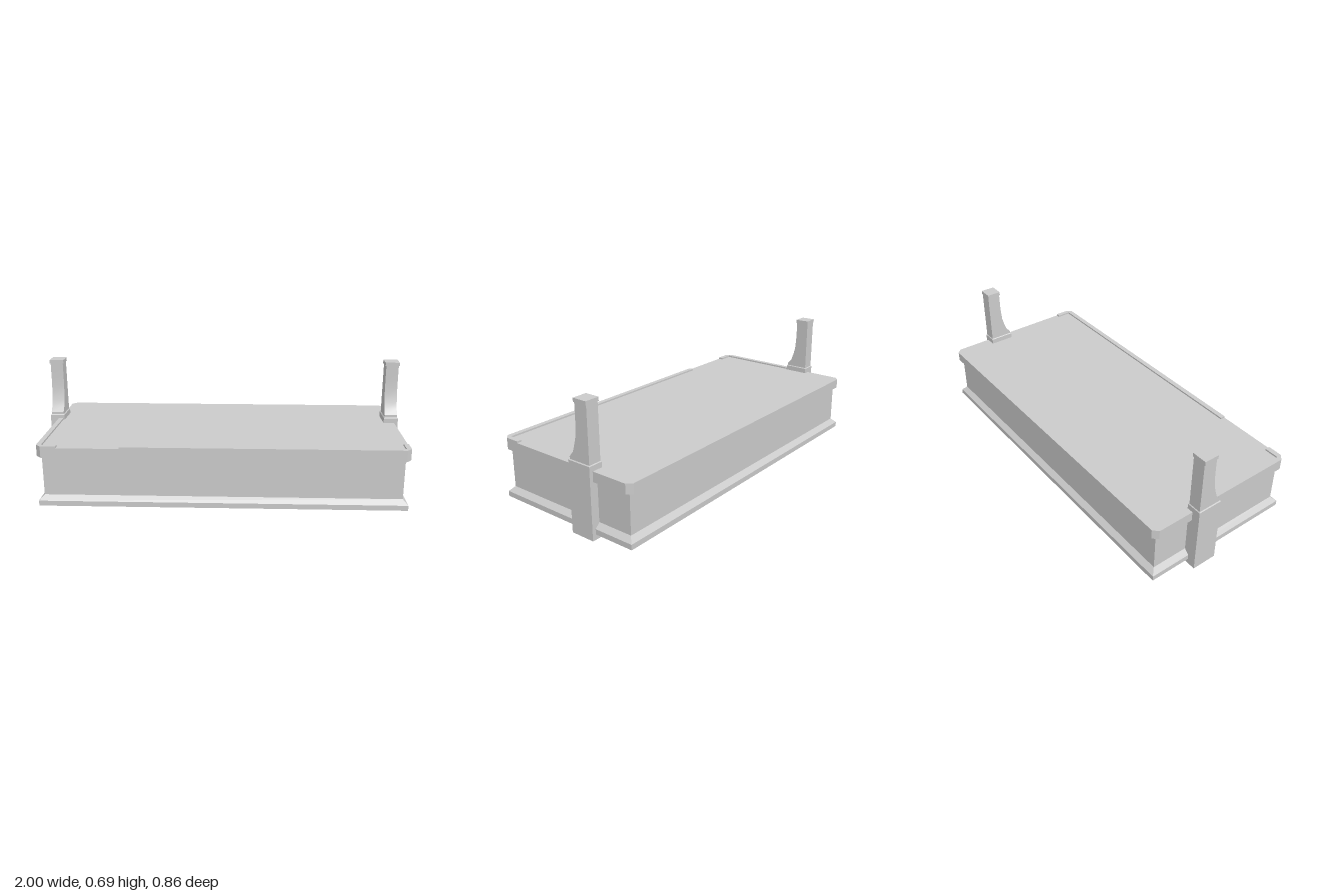
import * as THREE from 'three';
import { toCreasedNormals } from 'three/addons/utils/BufferGeometryUtils.js';

const X0 = -0.954, X1 = 0.98, Z = 0.43; // outer footprint of the slab
const STEP = 0.026; // overhang of rim and base beyond the body
const CX = (X0 + X1) / 2, W = X1 - X0;

export function createModel() {
  const model = new THREE.Group();
  const material = new THREE.MeshStandardMaterial({ color: 0xcccccc });
  const thinMaterial = new THREE.MeshStandardMaterial({ color: 0xcccccc, side: THREE.DoubleSide });

  function add(name, geometry, parent = model, surface = material) {
    const mesh = new THREE.Mesh(geometry, surface);
    mesh.name = name;
    parent.add(mesh);
  }

  // Box between two heights, optionally with its top drawn in on all sides
  function block(w, d, y0, y1, x, z, inset = 0) {
    const g = new THREE.BoxGeometry(w, y1 - y0, d);
    const p = g.attributes.position;
    for (let i = 0; i < p.count; i++) {
      if (p.getY(i) > 0) {
        p.setX(i, p.getX(i) - Math.sign(p.getX(i)) * inset);
        p.setZ(i, p.getZ(i) - Math.sign(p.getZ(i)) * inset);
      }
    }
    g.computeVertexNormals();
    return g.translate(x, (y0 + y1) / 2, z);
  }

  // The four side walls of a block, without its top and bottom faces
  function walls(geometry) {
    const index = Array.from(geometry.index.array);
    index.splice(12, 12);
    geometry.setIndex(index);
    geometry.clearGroups();
    return geometry;
  }

  // Flat plate from an [x, z] outline
  function plate(points, y0, y1) {
    const shape = new THREE.Shape(points.map(([x, z]) => new THREE.Vector2(x, -z)));
    const g = new THREE.ExtrudeGeometry(shape, { depth: y1 - y0, bevelEnabled: false });
    return g.rotateX(-Math.PI / 2).translate(0, y0, 0);
  }

  // Main body, reaching down inside the hollow base moulding
  add('body', block(W - 2 * STEP, 2 * (Z - STEP), 0.028, 0.297, CX, 0));

  // Base moulding: upright skirt and sloped edge, open underneath
  add('baseSkirt', walls(block(W, 2 * Z, 0.028, 0.056, CX, 0)), model, thinMaterial);
  add('baseSlope', walls(block(W, 2 * Z, 0.056, 0.082, CX, 0, STEP)), model, thinMaterial);

  // Overhanging top with cut corners
  const c = STEP;
  add('top', plate([
    [X0 + c, -Z], [X1 - c, -Z], [X1, -Z + c], [X1, Z - c],
    [X1 - c, Z], [X0 + c, Z], [X0, Z - c], [X0, -Z + c],
  ], 0.297, 0.35));

  // Low raised lips along the front corners
  const inner = Z - 0.027;
  add('lipWithLongFront', plate([
    [-0.52, Z], [X1 - c, Z], [X1, Z - c], [X1, 0.325],
    [X1 - c, 0.325], [X1 - c, inner], [-0.52, inner],
  ], 0.35, 0.359));
  add('lipWithLongSide', plate([
    [-0.847, Z], [X0 + c, Z], [X0, Z - c], [X0, -0.13],
    [X0 + c, -0.13], [X0 + c, inner], [-0.847, inner],
  ], 0.35, 0.359));

  // Side posts: square foot, curved stem and cap
  const stemShape = new THREE.Shape([
    [-0.2, 0.382], [-0.073, 0.382], [-0.073, 0.395], [-0.097, 0.424], [-0.109, 0.462],
    [-0.119, 0.5], [-0.123, 0.545], [-0.125, 0.585], [-0.125, 0.67], [-0.2, 0.67],
  ].map(([z, y]) => new THREE.Vector2(z, y)));
  const stemWidth = 0.07;
  const stem = toCreasedNormals(
    new THREE.ExtrudeGeometry(stemShape, { depth: stemWidth, bevelEnabled: false })
      .rotateY(-Math.PI / 2).translate(stemWidth / 2, 0, 0), 0.5);

  for (const side of [-1, 1]) {
    const post = new THREE.Group();
    post.name = side > 0 ? 'leftPost' : 'rightPost';
    post.position.x = side * 0.96;
    add('postFoot', block(0.08, 0.137, 0, 0.378, 0, -0.1355), post);
    add('postShoulder', block(0.08, 0.137, 0.378, 0.382, 0, -0.1355, 0.004), post);
    add('postStem', stem, post);
    add('postCap', block(0.08, 0.08, 0.67, 0.69, 0, -0.162), post);
    model.add(post);
  }
  return model;
}
